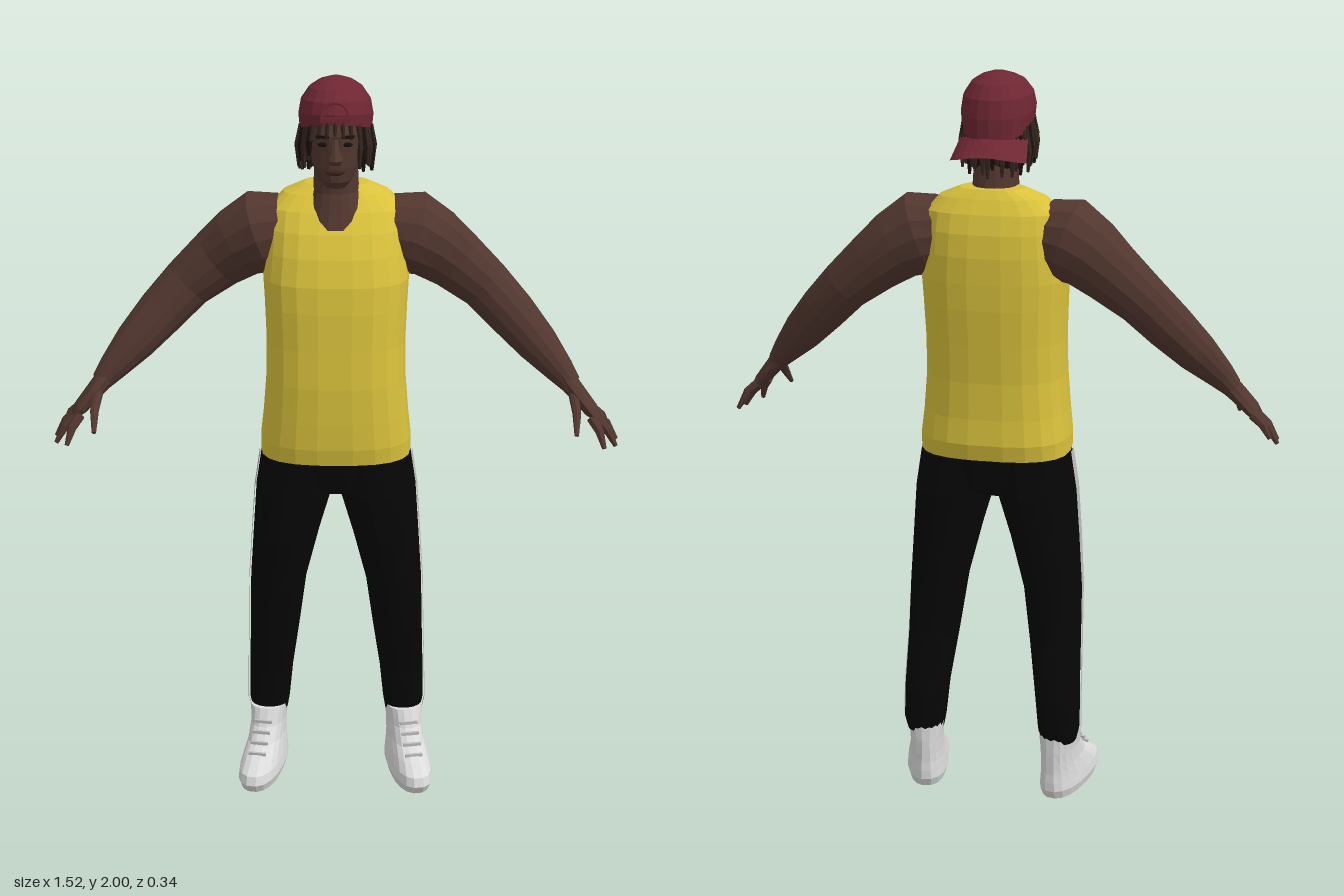
import * as THREE from 'three';

const mat = (name, color, side = THREE.FrontSide) => {
  const m = new THREE.MeshStandardMaterial({ color, side });
  m.name = name;
  return m;
};

// Joins cross-section rows into a flat-shaded surface, closed with end caps if asked
function skinRows(rows, closed) {
  const pos = [], tri = (a, b, c) => pos.push(...a.toArray(), ...b.toArray(), ...c.toArray());
  const n = rows[0].length, last = closed ? n : n - 1;
  for (let i = 0; i < rows.length - 1; i++)
    for (let j = 0; j < last; j++) {
      const k = (j + 1) % n, a = rows[i][j], b = rows[i][k], c = rows[i + 1][j], d = rows[i + 1][k];
      tri(a, c, b);
      tri(b, c, d);
    }
  if (closed) [rows[0], rows[rows.length - 1]].forEach((row, end) => {
    const mid = row.reduce((s, p) => s.add(p), new THREE.Vector3()).divideScalar(n);
    row.forEach((p, j) => end ? tri(mid, row[(j + 1) % n], p) : tri(mid, p, row[(j + 1) % n]));
  });
  const g = new THREE.BufferGeometry();
  g.setAttribute('position', new THREE.Float32BufferAttribute(pos, 3));
  g.computeVertexNormals();
  return g;
}

// Stacked horizontal sections: [y, centre x, front z, back z, half width, tilt]
function stack(sections, { n = 18, power = 2.3, arc = null, grow = 0 } = {}) {
  const bend = v => Math.sign(v) * Math.abs(v) ** (2 / power);
  const rows = sections.map(([y, cx, zf, zb, rx, tilt = 0]) => {
    const row = [], count = arc ? n + 1 : n;
    for (let j = 0; j < count; j++) {
      const t = arc ? arc[0] + (arc[1] - arc[0]) * j / n : j / n * Math.PI * 2;
      const z = (zf + zb) / 2 + bend(Math.sin(t)) * ((zf - zb) / 2 + grow);
      row.push(new THREE.Vector3(cx + bend(Math.cos(t)) * (rx + grow), y + tilt * z, z));
    }
    return row;
  });
  return skinRows(rows, !arc);
}

// Limb along a path: [x, y, z, thickness radius, depth radius]
function limb(path, n = 12) {
  const pts = path.map(p => new THREE.Vector3(p[0], p[1], p[2]));
  const rows = path.map((p, i) => {
    const T = pts[Math.min(i + 1, pts.length - 1)].clone().sub(pts[Math.max(i - 1, 0)]).normalize();
    const W = new THREE.Vector3(0, 0, 1).addScaledVector(T, -T.z).normalize();
    const U = W.clone().cross(T);
    return Array.from({ length: n }, (_, j) => {
      const t = j / n * Math.PI * 2;
      return pts[i].clone().addScaledVector(W, Math.cos(t) * p[4]).addScaledVector(U, Math.sin(t) * p[3]);
    });
  });
  return skinRows(rows, true);
}

// Mirrored copy across x with the corner order reversed
function mirrored(geo) {
  const g = geo.index ? geo.toNonIndexed() : geo.clone();
  for (const key of ['position', 'normal']) {
    const a = g.attributes[key].array;
    for (let i = 0; i < a.length; i += 9)
      for (let k = 0; k < 3; k++) [a[i + 3 + k], a[i + 6 + k]] = [a[i + 6 + k], a[i + 3 + k]];
    for (let i = 0; i < a.length; i += 3) a[i] *= -1;
  }
  return g;
}

export function createModel() {
  const skin = mat('skin', 0x52372f), yellow = mat('shirt yellow', 0xdac23c);
  const black = mat('trouser black', 0x060606), white = mat('shoe white', 0xdcdcdc);
  const grey = mat('stripe grey', 0xbdbdbd, THREE.DoubleSide), red = mat('cap red', 0x6e2733, THREE.DoubleSide);
  const dark = mat('hair dark', 0x17100e, THREE.DoubleSide), brown = mat('lock brown', 0x33231c);
  const lip = mat('lip', 0x41271f);
  const model = new THREE.Group();
  const add = (name, geo, m) => {
    const mesh = new THREE.Mesh(geo, m);
    mesh.name = name;
    model.add(mesh);
  };
  const pair = (name, geo, m) => {
    add(name + 'Left', geo, m);
    add(name + 'Right', mirrored(geo), m);
  };

  // Sleeveless shirt
  add('shirt', stack([
    [0.985, 0, 0.15, -0.15, 0.203], [1.03, 0, 0.158, -0.16, 0.203], [1.1, 0, 0.16, -0.155, 0.195],
    [1.2, 0, 0.16, -0.155, 0.187], [1.3, 0, 0.152, -0.162, 0.186], [1.4, 0, 0.146, -0.17, 0.19],
    [1.47, 0, 0.137, -0.172, 0.194], [1.54, 0, 0.115, -0.172, 0.187], [1.6, 0, 0.086, -0.165, 0.183],
    [1.65, 0, 0.05, -0.15, 0.178], [1.687, 0, 0.015, -0.13, 0.14], [1.71, 0, -0.01, -0.115, 0.085],
  ], { n: 22, power: 2.7 }), yellow);

  // Trousers with side stripes
  add('hips', stack([[0.865, 0, 0.05, -0.08, 0.09], [0.9, 0, 0.115, -0.14, 0.17], [0.995, 0, 0.13, -0.15, 0.198]]), black);
  const leg = [
    [0.165, 0.19, -0.02, -0.128, 0.05], [0.2, 0.191, -0.008, -0.14, 0.057], [0.3, 0.185, 0.003, -0.14, 0.061],
    [0.45, 0.172, 0.05, -0.122, 0.069], [0.6, 0.16, 0.095, -0.125, 0.077], [0.75, 0.136, 0.125, -0.142, 0.091],
    [0.88, 0.112, 0.133, -0.153, 0.106], [0.985, 0.1, 0.13, -0.15, 0.102],
  ];
  pair('trouserLeg', stack(leg), black);
  pair('sideStripe', stack(leg, { n: 4, arc: [-0.04, 0.26], grow: 0.005 }), grey);

  // High-top shoes turned slightly outward
  const turnOut = g => g.translate(0, 0, 0.07).rotateY(0.2).translate(0.19, 0, -0.07);
  pair('shoe', turnOut(stack([
    [0, 0, 0.15, -0.125, 0.052], [0.025, 0, 0.165, -0.137, 0.059], [0.05, 0, 0.157, -0.137, 0.056],
    [0.075, 0, 0.115, -0.135, 0.052], [0.1, 0, 0.065, -0.135, 0.048], [0.14, 0, 0.025, -0.135, 0.047],
    [0.188, 0, 0.003, -0.133, 0.052],
  ], { power: 2.4 })), white);
  for (let i = 0; i < 4; i++)
    pair('lace' + (i + 1), turnOut(new THREE.BoxGeometry(0.05, 0.008, 0.008).translate(0, 0.088 + i * 0.022, 0.088 - i * 0.024)), grey);

  // Arms and hands
  pair('arm', limb([
    [0.14, 1.585, -0.045, 0.095, 0.085], [0.2, 1.575, -0.048, 0.113, 0.1], [0.26, 1.542, -0.058, 0.097, 0.088],
    [0.32, 1.495, -0.066, 0.084, 0.072], [0.4, 1.428, -0.062, 0.071, 0.062], [0.47, 1.355, -0.04, 0.066, 0.058],
    [0.54, 1.28, -0.01, 0.056, 0.051], [0.6, 1.215, 0.02, 0.039, 0.038], [0.63, 1.18, 0.033, 0.028, 0.034],
  ], 14), skin);
  pair('palm', limb([
    [0.61, 1.2, 0.025, 0.028, 0.032], [0.65, 1.155, 0.045, 0.023, 0.046], [0.685, 1.115, 0.058, 0.019, 0.05],
    [0.7, 1.098, 0.062, 0.012, 0.044],
  ], 10), skin);
  [
    [0.688, 1.11, 0.022, 0.738, 1.05, 0.008], [0.693, 1.105, 0.046, 0.755, 1.028, 0.04],
    [0.692, 1.102, 0.072, 0.75, 1.025, 0.09], [0.682, 1.105, 0.095, 0.715, 1.035, 0.14],
    [0.635, 1.16, 0.07, 0.638, 1.08, 0.165],
  ].forEach(([x, y, z, X, Y, Z], i) => pair(i < 4 ? 'finger' + (i + 1) : 'thumb', limb([
    [x, y, z, 0.014, 0.014], [(x + X) / 2 + 0.004, (y + Y) / 2 + 0.006, (z + Z) / 2, 0.012, 0.012], [X, Y, Z, 0.006, 0.006],
  ], 7), skin));

  // Neck, head and face
  add('neck', stack([[1.61, 0, 0.08, -0.1, 0.08], [1.65, 0, 0.066, -0.1, 0.075], [1.7, 0, 0.05, -0.095, 0.06], [1.79, 0, 0.05, -0.08, 0.056]]), skin);
  add('head', stack([
    [1.728, 0, 0.105, 0.02, 0.028], [1.748, 0, 0.126, -0.03, 0.046], [1.785, 0, 0.13, -0.065, 0.062],
    [1.83, 0, 0.131, -0.083, 0.07], [1.87, 0, 0.135, -0.088, 0.074], [1.93, 0, 0.115, -0.088, 0.074],
  ]), skin);
  add('nose', stack([[1.797, 0, 0.145, 0.11, 0.014], [1.81, 0, 0.162, 0.11, 0.021], [1.825, 0, 0.156, 0.11, 0.015], [1.862, 0, 0.139, 0.11, 0.009]], { n: 8 }), skin);
  add('mouth', new THREE.SphereGeometry(1, 10, 6).scale(0.026, 0.01, 0.01).translate(0, 1.777, 0.126), lip);
  pair('eye', new THREE.SphereGeometry(1, 8, 6).scale(0.014, 0.006, 0.005).translate(0.031, 1.848, 0.126), dark);
  pair('eyebrow', new THREE.BoxGeometry(0.034, 0.007, 0.008).rotateY(0.3).translate(0.032, 1.868, 0.128), dark);

  // Hair under the cap, with hanging locks
  add('backHair', stack([
    [1.755, 0, 0.09, -0.08, 0.068], [1.8, 0, 0.1, -0.092, 0.076], [1.88, 0, 0.11, -0.098, 0.084],
  ], { n: 12, arc: [Math.PI * 0.97, Math.PI * 2.03] }), dark);
  let seed = 7;
  const rand = () => (seed = (seed * 16807) % 2147483647) / 2147483647;
  for (let i = 0; i < 38; i++) {
    const t = -Math.PI * 1.27 + i / 37 * Math.PI * 1.54;
    const len = 0.08 + rand() * 0.045, out = 1 + rand() * 0.1;
    const x = Math.cos(t) * 0.088, z = 0.01 + Math.sin(t) * 0.1, y = 1.875 + z * 0.2;
    add('lock' + (i + 1), limb([
      [x, y, z, 0.009, 0.009], [x * out * 1.06, y - len * 0.55, z * out, 0.009, 0.009], [x * out * 1.04, y - len, z * out, 0.004, 0.004],
    ], 5), i % 3 ? brown : dark);
  }
  for (let i = -3; i <= 3; i++)
    add('fringeLock' + (i + 4), limb([[i * 0.019, 1.905, 0.128 - i * i * 0.003, 0.007, 0.007],
      [i * 0.021, 1.872 - Math.abs(i) * 0.006, 0.137 - i * i * 0.003, 0.004, 0.004]], 5), brown);

  // Cap worn backwards: crown, brim and strap opening
  add('capCrown', stack([
    [1.862, 0, 0.134, -0.107, 0.093, 0.27], [1.905, 0, 0.135, -0.107, 0.097, 0.15], [1.945, 0, 0.122, -0.097, 0.09, 0.08],
    [1.975, 0, 0.095, -0.072, 0.07, 0.04], [1.992, 0, 0.06, -0.04, 0.044], [2.0, 0, 0.03, -0.015, 0.018],
  ], { n: 20, power: 2.15 }), red);
  const brim = [0, 0.5, 1].map(r => Array.from({ length: 11 }, (_, j) => {
    const t = j / 5 - 1, inner = -0.105 + 0.075 * t * t, outer = -0.166 + 0.05 * t ** 4;
    return new THREE.Vector3(t * (0.088 + 0.013 * r), 1.842 - 0.04 * r - 0.018 * t * t * r, inner + (outer - inner) * r);
  }));
  add('capBrim', skinRows(brim, false), red);
  add('capOpening', new THREE.TorusGeometry(0.034, 0.004, 5, 14, Math.PI).rotateX(-0.35).translate(0, 1.922, 0.134), red);
  add('capStrap', new THREE.BoxGeometry(0.075, 0.012, 0.008).translate(0, 1.912, 0.134), red);
  return model;
}
